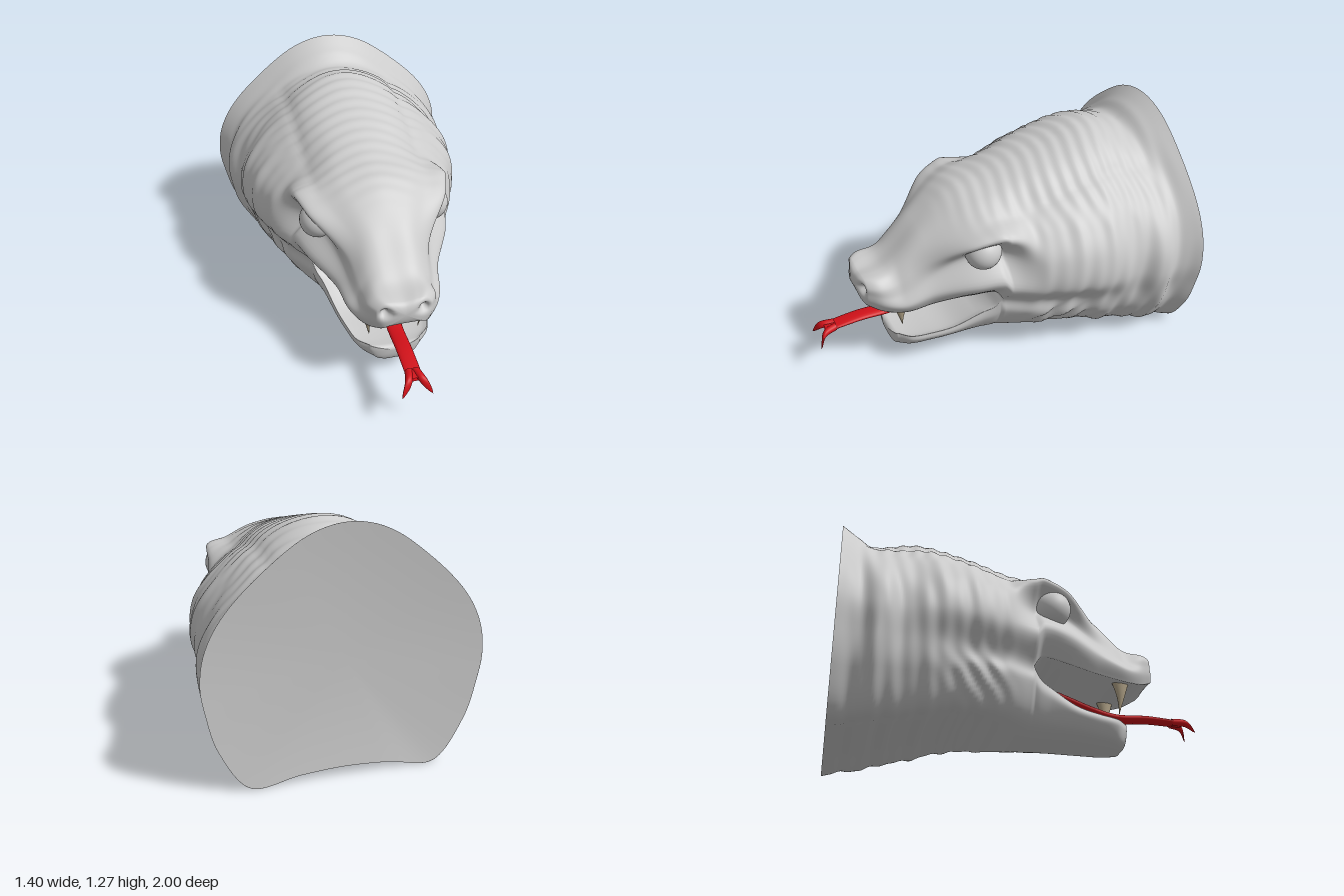
import * as THREE from 'three';
import { mergeGeometries, mergeVertices } from 'three/addons/utils/BufferGeometryUtils.js';

const { smoothstep, lerp } = THREE.MathUtils;
const CORNER = .03;   // z of the mouth corner

// Smooth curve value(z) through a few [z, value] points, constant beyond the ends
function profile(...pts) {
  const n = pts.length - 1, at = i => pts[Math.min(Math.max(i, 0), n)];
  const slope = i => (at(i + 1)[1] - at(i - 1)[1]) / (at(i + 1)[0] - at(i - 1)[0]);
  return z => {
    if (z <= pts[0][0]) return pts[0][1];
    if (z >= pts[n][0]) return pts[n][1];
    const i = pts.findIndex(p => p[0] > z) - 1;
    const [[z0, a], [z1, b]] = [pts[i], pts[i + 1]], h = z1 - z0, f = (z - z0) / h, g = 1 - f;
    return (1 + 2 * f) * g * g * a + f * g * g * h * slope(i) + f * f * (3 - 2 * f) * b - f * f * g * h * slope(i + 1);
  };
}

// Long profiles of the head
const crownY = profile([-1, 1.27], [-.9, 1.2], [-.82, 1.15], [-.62, 1.2], [-.35, 1.14], [0, 1.04], [.2, .98], [.4, .84], [.6, .66], [.74, .62]);
const headW = profile([-1, .7], [-.9, .65], [-.79, .67], [-.66, .615], [-.52, .635], [-.3, .6], [-.1, .52], [CORNER, .45], [.2, .39], [.4, .285], [.55, .25], [.66, .2], [.74, .14]);
const throatY = profile([-1, .01], [-.87, .035], [-.6, .095], [-.35, .14], [0, .11], [.28, .11], [.57, .095]);
const jawW = profile([CORNER, .335], [.14, .29], [.42, .225], [.52, .195], [.575, .14]);
const upperLip = profile([CORNER, .42], [.07, .475], [.2, .475], [.4, .45], [.55, .43], [.66, .44], [.74, .475]);
const lowerLip = profile([CORNER, .42], [.07, .36], [.14, .32], [.28, .25], [.42, .225], [.57, .215]);

// Unit half sections: crown centre, crown edge, brow, socket, cheek, lip
const NECK = [[0, 1], [.29, .94], [.59, .76], [.83, .56], [.96, .37], [1, .18], [.97, 0]];
const CHEEK = [[0, 1], [.32, .95], [.58, .79], [.8, .63], [.95, .45], [.98, .2], [.82, 0]];
const FACE = [[0, 1], [.39, .95], [.68, .85], [.97, .76], [.74, .52], [1, .24], [.76, 0]];
const SNOUT = [[0, 1], [.32, 1], [.54, .91], [.72, .7], [.84, .46], [1, .24], [.88, 0]];
const NOSE = [[0, 1], [.43, 1.06], [.75, 1.05], [.98, .84], [1, .57], [.98, .29], [.85, 0]];
// Unit half sections: lip, cheek, jaw corner, throat, throat centre
const THROAT = [[1, 1], [.91, .5], [.69, 0], [.33, .07], [0, .1]];
const JAW = [[1, 1], [1, .7], [.77, .22], [.42, .02], [0, 0]];
const blend = (A, B, w) => A.map((p, i) => [lerp(p[0], B[i][0], w), lerp(p[1], B[i][1], w)]);

// Position along a jaw: v -1..0 neck, 0..1 jaw, 1..2 rounded end with scale s
function along(v, front, round) {
  if (v < 0) return [CORNER + v * (1 + CORNER), 1];
  if (v <= 1) return [lerp(CORNER, front, v), 1];
  const a = (v - 1) * Math.PI / 2;
  return [front + round * Math.sin(a), Math.cos(a)];
}
function upperSection(v) {
  const [z, s] = along(v, .73, .035), lip = upperLip(z), w = headW(z), h = crownY(z) - lip;
  let shape = blend(NECK, CHEEK, smoothstep(z, -.75, -.2));
  shape = blend(shape, FACE, smoothstep(z, -.15, .08));
  shape = blend(shape, SNOUT, smoothstep(z, .2, .5));
  shape = blend(shape, NOSE, smoothstep(z, .55, .72));
  return { z, pts: shape.map(([x, y]) => [x * w * s, lerp(.56, lip + y * h, s)]) };
}
function lowerSection(v) {
  const [z, s] = along(v, .575, .028), low = throatY(z), h = lowerLip(z) - low;
  const w = v <= 0 ? upperSection(v).pts[6][0] : jawW(z);
  const shape = blend(THROAT, JAW, smoothstep(z, -.6, .1));
  return { z, pts: shape.map(([x, y]) => [x * w * s, lerp(.17, low + y * h, s)]) };
}

// Smooth curve through a half section, with ghost points at both ends
function around(pts, before, after, u) {
  const all = [before, ...pts, after], s = u * (pts.length - 1);
  const i = Math.min(Math.floor(s), pts.length - 2), f = s - i;
  return [0, 1].map(c => {
    const [a, b, d, e] = [0, 1, 2, 3].map(k => all[i + k][c]);
    return b + .5 * f * (d - a + f * (2 * a - 5 * b + 4 * d - e + f * (3 * (b - d) + e - a)));
  });
}

// Skin folds on the neck, ridged crown scales and nostril pits
function detail([x, y], z) {
  const neck = smoothstep(z, -1, -.85) * (1 - smoothstep(z, -.25, .02));
  const top = smoothstep(y, .85, 1) * (1 - smoothstep(z, .1, .45)) * smoothstep(z, -.9, -.75);
  const fold = Math.sin(z * 37 + Math.sin(y * 9) * 1.6) + .6 * Math.sin(z * 71 + y * 7);
  const jowl = Math.exp(-(((z + .25) / .15) ** 2) - ((y - .28) / .1) ** 2) * Math.sin(z * 50 + y * 50);
  const scales = .007 * Math.sin(z * 80 + Math.cos(x * 12) * 1.5) - .016 * Math.exp(-(((x - .32) / .03) ** 2));
  const a = 1 + neck * (.008 * fold * (1 - top) + .025 * jowl) + top * scales;
  const d2 = (x - .1) ** 2 + (y - .575) ** 2 + (z - .75) ** 2;
  return [x * a, .6 + (y - .6) * a, z - .05 * Math.exp(-d2 / .0006)];
}

// Outer skin: the halves join along the neck and part at the mouth
function upperSkin(u, v) {
  const { z, pts } = upperSection(v), after = v <= 0 ? lowerSection(v).pts[1] : pts[6];
  return detail(around(pts, [-pts[1][0], pts[1][1]], after, u), z);
}
function lowerSkin(u, v) {
  const { z, pts } = lowerSection(v), before = v <= 0 ? upperSection(v).pts[5] : pts[0];
  return detail(around(pts, before, [-pts[3][0], pts[3][1]], u), z);
}
// Mouth lining, arched between the lips
function lining([x, y, z], k, rise) {
  const depth = rise * x * smoothstep(z, CORNER, CORNER + .12);
  return [x * k, y + depth * Math.sqrt(1 - k * k), z];
}
const palate = (u, v) => lining(upperSkin(1, v), 1 - u, .07);
const mouthFloor = (u, v) => lining(lowerSkin(0, v), u, -.13);
// Shallow dish closing the neck
function neckEnd(u, s) {
  const p = u < .6 ? upperSkin(u / .6, -1) : lowerSkin((u - .6) / .4, -1);
  return [p[0] * s, .6 + (p[1] - .6) * s, -1 + .03 * (1 - s * s)];
}

// Grid of points f(u, v); mirror = -1 gives the other half
function grid(f, nu, nv, v0 = 0, v1 = 1, mirror = 1) {
  const pos = [], idx = [];
  for (let i = 0; i <= nv; i++) for (let j = 0; j <= nu; j++) {
    const p = f(j / nu, lerp(v0, v1, i / nv));
    pos.push(p[0] * mirror, p[1], p[2]);
    if (i === nv || j === nu) continue;
    const a = i * (nu + 1) + j, b = a + 1, c = a + nu + 1, d = c + 1;
    idx.push(...(mirror > 0 ? [a, c, b, b, c, d] : [a, b, c, b, d, c]));
  }
  const g = new THREE.BufferGeometry();
  g.setAttribute('position', new THREE.Float32BufferAttribute(pos, 3));
  g.setIndex(idx);
  return g;
}
const both = (...args) => [1, -1].map(m => grid(...args, m));
function smooth(parts) {
  const g = mergeVertices(mergeGeometries(parts), 1e-4);
  g.computeVertexNormals();
  return g;
}
const mouthPart = (f, nu) => [...both(f, nu, 70, 0, 1), ...both(f, nu, 10, 1, 2)];
const skinPart = (f, nu) => [...both(f, nu, 90, -1, 0), ...mouthPart(f, nu)];

// Tapered limb along points, size(v) gives its two radii; curl bends the edges up
function limb(points, size, upright = false, curl = 0) {
  const path = new THREE.CatmullRomCurve3(points.map(p => new THREE.Vector3(...p)));
  return smooth([grid((u, v) => {
    const p = path.getPoint(v), [r1, r2] = size(v), a = -u * Math.PI * 2;
    const dx = Math.cos(a) * r1, d = Math.sin(a) * r2;
    return upright ? [p.x + dx, p.y, p.z + d] : [p.x + dx, p.y + d + curl * dx * dx, p.z];
  }, 16, 40)]);
}

export function createModel() {
  const group = new THREE.Group();
  const material = color => new THREE.MeshStandardMaterial({ color, side: THREE.DoubleSide });
  const skin = material(0xcccccc), red = material(0xd01018), ivory = material(0xb5a68a);
  const add = (name, geometry, mat) => {
    const mesh = new THREE.Mesh(geometry, mat);
    mesh.name = name;
    group.add(mesh);
    return mesh;
  };

  // Head with both jaws and mouth lining
  add('head', smooth([
    ...skinPart(upperSkin, 48), ...skinPart(lowerSkin, 32),
    ...mouthPart(palate, 12), ...mouthPart(mouthFloor, 12),
  ]), skin);
  add('neckEnd', smooth(both(neckEnd, 60, 12, 0, 1)), skin);

  // Eyes, fangs and the two tips of the tongue
  for (const [side, s] of [['left', 1], ['right', -1]]) {
    add(side + 'Eye', new THREE.SphereGeometry(.098, 32, 24), skin).position.set(.312 * s, .772, .14);
    add(side + 'Fang', limb([[.15 * s, .47, .555], [.147 * s, .37, .556], [.135 * s, .262, .547]],
      v => [.03 * (1 - v), .054 * (1 - v) ** 1.3], true), ivory);
    add(side + 'TongueTip', limb([[.018 * s, .297, .89], [.04 * s, .285, .962], [.08 * s, .222, 1]],
      v => [.021 * (1 - v ** 4), .02 * (1 - v ** 4)]), red);
  }

  // Tongue, broad and troughed at the root
  add('tongue', limb([[0, .36, .04], [0, .372, .17], [0, .315, .45], [0, .295, .58], [0, .302, .75], [0, .29, .95]],
    v => [.042 + .058 * Math.exp(-(((v - .15) / .2) ** 2)), .022 - .012 * v ** 6], false, 3), red);
  return group;
}
